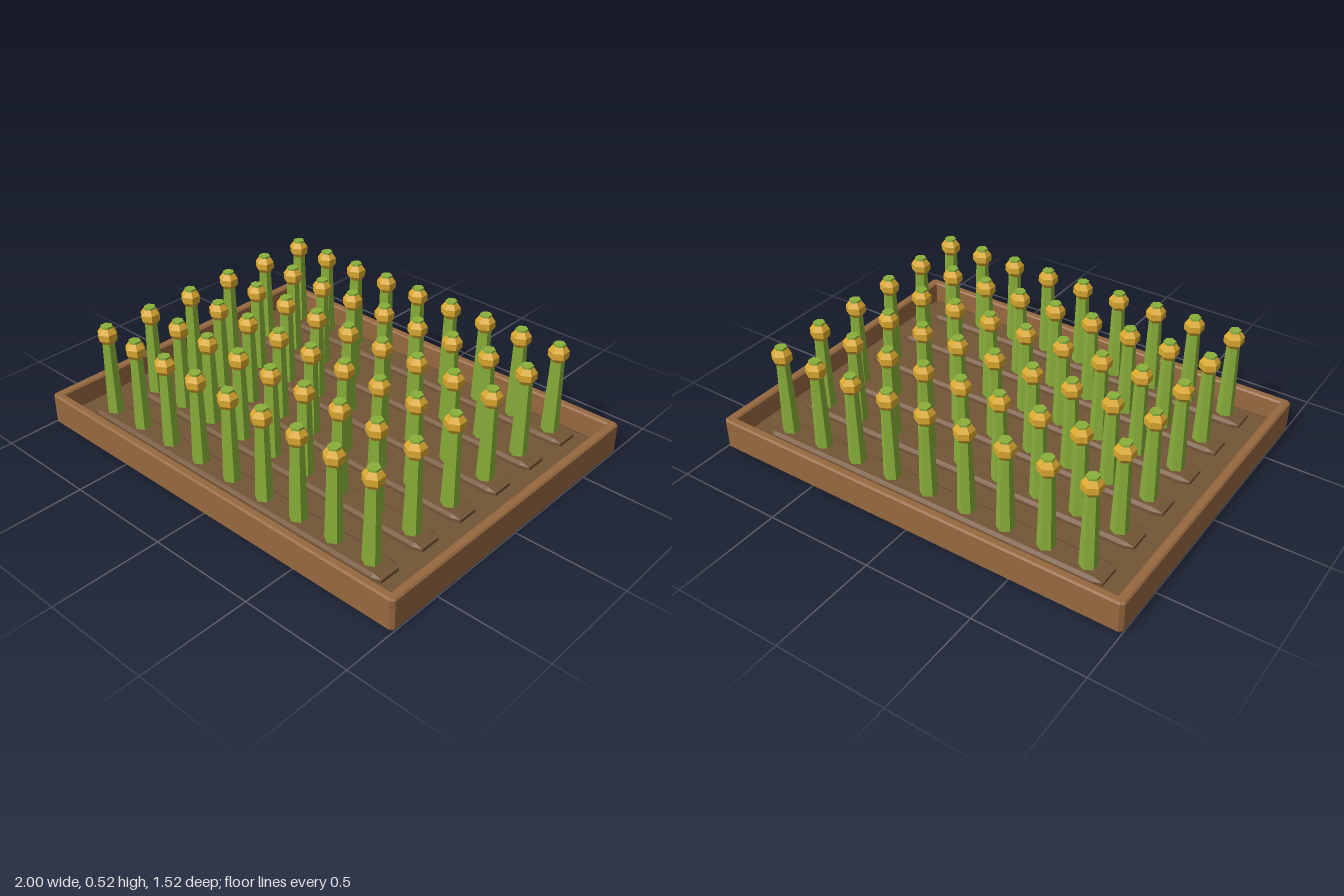
import * as THREE from 'three';
import { ConvexGeometry } from 'three/addons/geometries/ConvexGeometry.js';

const material = (color) => new THREE.MeshStandardMaterial({ color, flatShading: true });

// Box with chamfered edges; bx, by, bz are the chamfer sizes along each axis
function chamferBox(w, h, d, bx, by = bx, bz = bx) {
  const points = [];
  for (const sx of [-1, 1]) for (const sy of [-1, 1]) for (const sz of [-1, 1]) {
    const x = w / 2, y = h / 2, z = d / 2;
    points.push(
      new THREE.Vector3(sx * x, sy * (y - by), sz * (z - bz)),
      new THREE.Vector3(sx * (x - bx), sy * y, sz * (z - bz)),
      new THREE.Vector3(sx * (x - bx), sy * (y - by), sz * z)
    );
  }
  return new ConvexGeometry(points);
}

export function createModel() {
  const model = new THREE.Group();
  model.name = 'cropBed';

  const wood = material(0x96683f);
  const soil = material(0x735536);
  const green = material(0x8ab03a);
  const gold = material(0xdcaa30);

  function add(parent, name, geometry, mat, x, y, z) {
    const mesh = new THREE.Mesh(geometry, mat);
    mesh.name = name;
    mesh.position.set(x, y, z);
    parent.add(mesh);
    return mesh;
  }

  // Wooden frame, rails overlapping at the corners
  const height = 0.148;
  const longRail = chamferBox(1.984, height, 0.04, 0.007);
  const shortRail = chamferBox(0.043, height, 1.506, 0.007);
  add(model, 'frontRail', longRail, wood, 0, height / 2, 0.74);
  add(model, 'backRail', longRail, wood, 0, height / 2, -0.74);
  add(model, 'leftRail', shortRail, wood, 0.9785, height / 2, 0);
  add(model, 'rightRail', shortRail, wood, -0.9785, height / 2, 0);

  // Soil slab, leaving a narrow gap inside the frame
  add(model, 'soil', chamferBox(1.89, 0.052, 1.41, 0.015, 0.008, 0.015), soil, 0, 0.038, 0);

  // Planted rows
  const ridge = chamferBox(1.7, 0.05, 0.128, 0.04, 0.012, 0.014);
  const stem = new THREE.CylinderGeometry(0.027, 0.04, 0.46, 6);
  const bud = new THREE.SphereGeometry(0.047, 6, 5).rotateY(Math.PI / 2);

  for (let row = 0; row < 6; row++) {
    const z = (row - 2.5) * 0.2375;
    add(model, 'soilRidge', ridge, soil, 0, 0.067, z);
    for (let column = 0; column < 9; column++) {
      const plant = new THREE.Group();
      plant.name = 'plant';
      plant.position.set((column - 4) * 0.1895, 0, z);
      add(plant, 'stem', stem, green, 0, 0.292, 0);
      add(plant, 'bud', bud, gold, 0, 0.475, 0);
      model.add(plant);
    }
  }
  return model;
}
